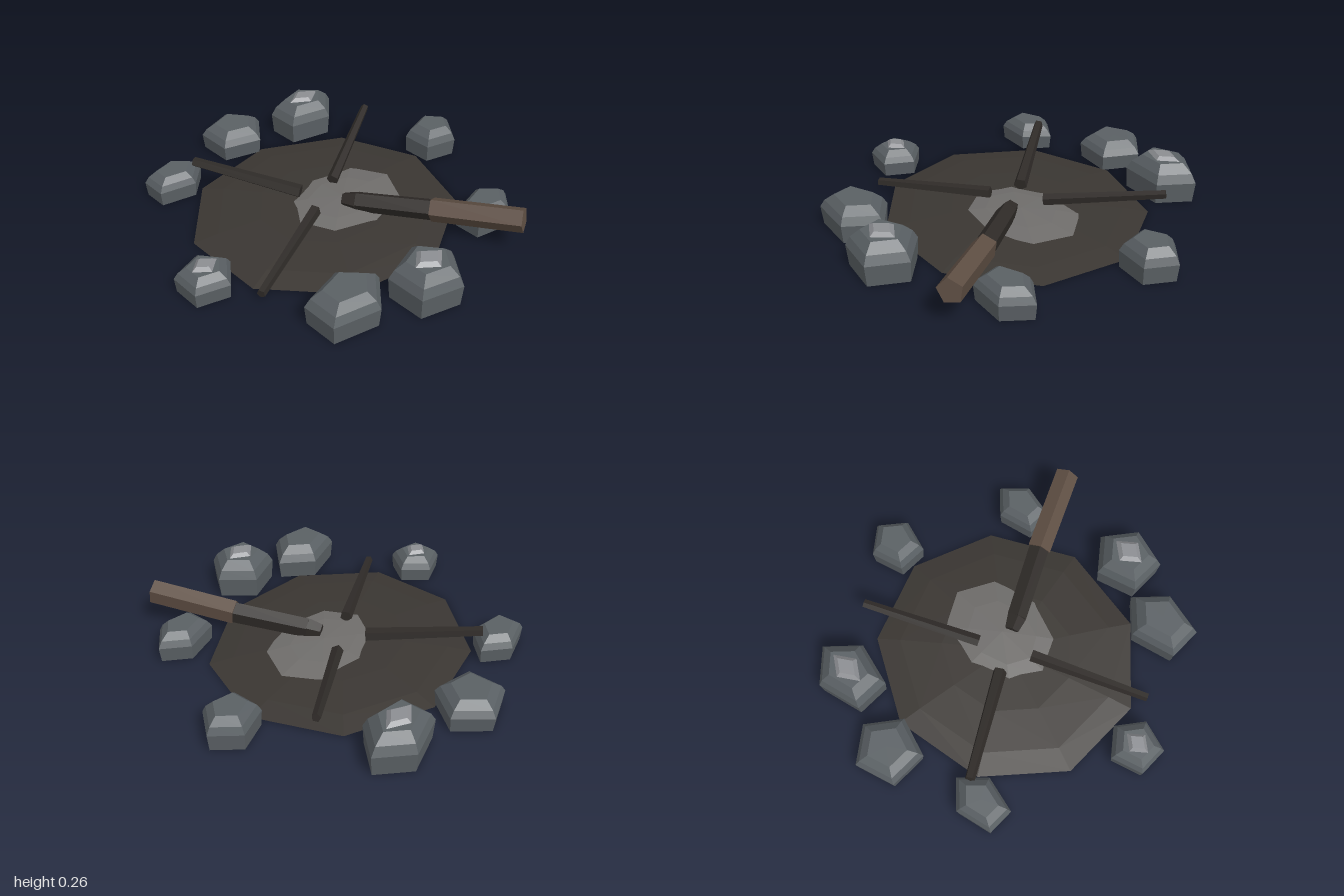
import * as THREE from 'three';

const mat = (color) => new THREE.MeshStandardMaterial({ color, flatShading: true });

export function createModel() {
  const model = new THREE.Group();
  const stoneMat = mat(0x5a6064), capMat = mat(0x8c8e92), earthMat = mat(0x3a3632);
  const ashMat = mat(0x6f6d6b), charMat = mat(0x2f2b28), woodMat = mat(0x5e4e43);

  // Faceted mound: profile of [radius, y], first corner towards +x
  function mound(name, profile, sides, material, [x, y, z], [sx, sy, sz]) {
    const points = profile.map(([r, h]) => new THREE.Vector2(r, h));
    const mesh = new THREE.Mesh(new THREE.LatheGeometry(points, sides, Math.PI / 2), material);
    mesh.name = name;
    mesh.position.set(x, y, z);
    mesh.scale.set(sx, sy, sz);
    model.add(mesh);
  }

  // Five-sided length of wood between two points
  function wood(name, from, to, r0, r1, material) {
    const a = new THREE.Vector3(...from), b = new THREE.Vector3(...to);
    const dir = b.clone().sub(a);
    const mesh = new THREE.Mesh(new THREE.CylinderGeometry(r1, r0, dir.length(), 5), material);
    mesh.name = name;
    mesh.position.copy(a).add(b).multiplyScalar(0.5);
    mesh.quaternion.setFromUnitVectors(new THREE.Vector3(0, 1, 0), dir.normalize());
    model.add(mesh);
  }

  // Scorched earth and the ash heap in its middle
  mound('scorchedGround', [[0, 0], [1, 0], [0.82, 0.02], [0.5, 0.038], [0, 0.048]], 9,
    earthMat, [-0.027, 0, 0], [0.737, 1, 0.69]);
  mound('ashHeap', [[0, 0], [1, 0], [0.6, 0.018], [0, 0.028]], 8,
    ashMat, [0.06, 0.036, 0.05], [0.35, 1, 0.27]);

  // Ring of stones: x, z, half width, half depth, height, has a pale cap
  const stoneProfile = [[0, 0], [0.95, 0], [1, 0.55], [0.86, 0.78], [0.58, 1], [0, 1]];
  const capProfile = [[0, 0], [1, 0], [0.65, 1], [0, 1]];
  [
    [0.84, 0, 0.16, 0.143, 0.175, false],
    [0.503, 0.66, 0.177, 0.126, 0.155, false],
    [-0.143, 0.825, 0.193, 0.18, 0.21, true],
    [-0.525, 0.675, 0.215, 0.163, 0.185, false],
    [-0.876, 0.08, 0.151, 0.143, 0.14, true],
    [-0.51, -0.685, 0.177, 0.125, 0.145, false],
    [0.02, -0.83, 0.19, 0.18, 0.155, false],
    [0.455, -0.695, 0.215, 0.163, 0.21, true],
  ].forEach(([x, z, w, d, h, cap]) => {
    mound('ringStone', stoneProfile, 5, stoneMat, [x, 0, z], [w, h, d]);
    if (cap) mound('stoneCap', capProfile, 4, capMat, [x, h, z], [w * 0.48, 0.018, d * 0.42]);
  });

  // Large log: charred inner half, bare outer half
  wood('charredTip', [0.03, 0.075, 0.09], [0.06, 0.085, 0.16], 0.04, 0.055, charMat);
  wood('charredHalf', [0.06, 0.085, 0.16], [0.245, 0.135, 0.53], 0.055, 0.058, charMat);
  wood('bareHalf', [0.24, 0.135, 0.52], [0.43, 0.2, 0.945], 0.066, 0.066, woodMat);

  // Thin burnt sticks
  wood('burntStick', [0.11, 0.075, -0.08], [0.67, 0.185, -0.385], 0.033, 0.023, charMat);
  wood('burntStick', [-0.09, 0.075, -0.12], [-0.4, 0.155, -0.65], 0.038, 0.027, charMat);
  wood('burntStick', [-0.15, 0.08, 0.06], [-0.745, 0.045, 0.33], 0.034, 0.023, charMat);

  return model;
}
